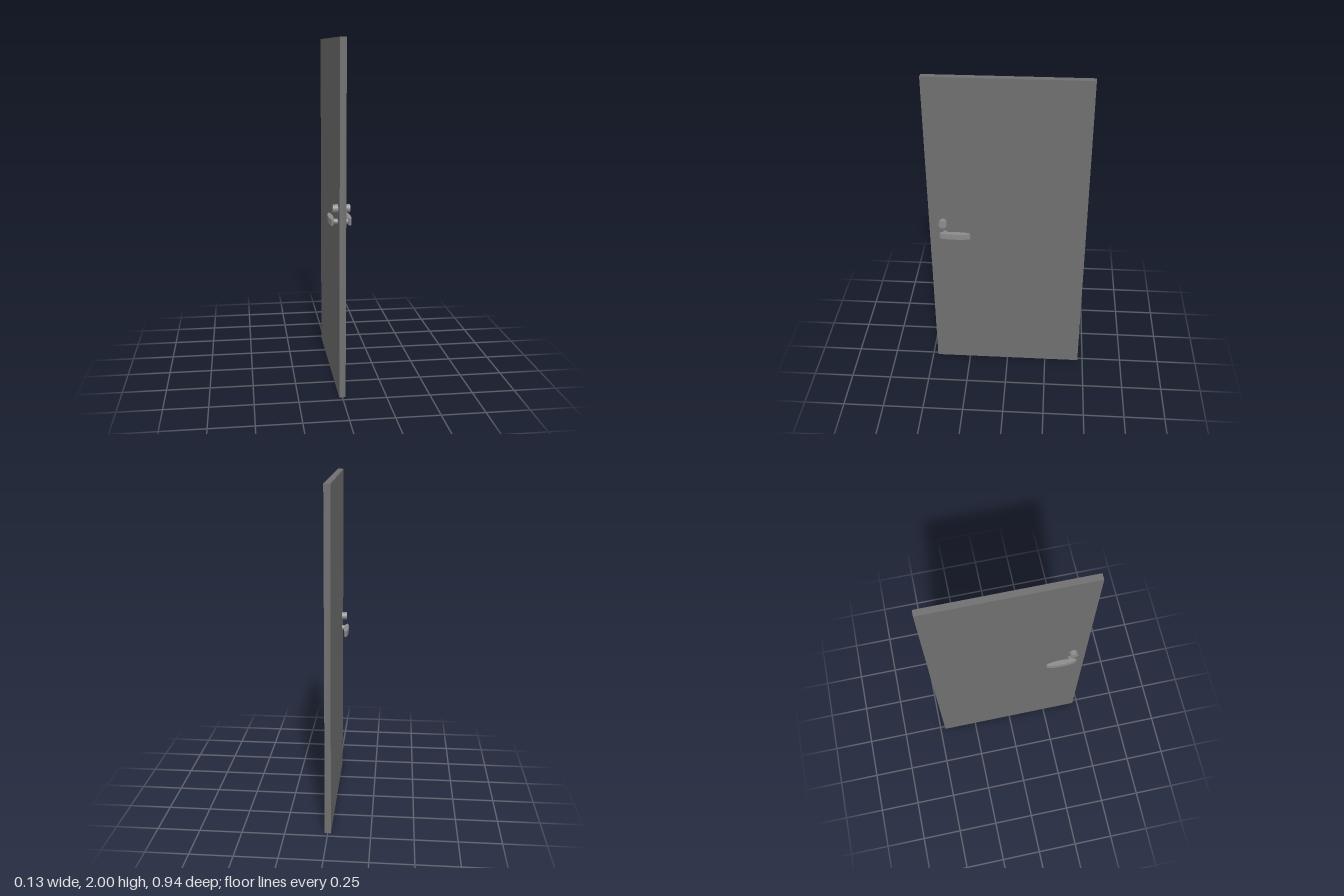
import * as THREE from 'three';

export function createModel() {
  const group = new THREE.Group();
  const doorPaint = new THREE.MeshStandardMaterial({ color: 0x707070 });
  const metal = new THREE.MeshStandardMaterial({ color: 0x8c8c8c });

  const add = (name, geometry, material, x, y, z) => {
    const mesh = new THREE.Mesh(geometry, material);
    mesh.name = name;
    mesh.position.set(x, y, z);
    group.add(mesh);
    return mesh;
  };

  // Round bar lying along x
  const bar = (radius, length) =>
    new THREE.CylinderGeometry(radius, radius, length, 20).rotateZ(Math.PI / 2);

  // Plain door slab
  add('doorPanel', new THREE.BoxGeometry(0.036, 2, 0.936), doorPaint, 0, 1, 0);

  // Lock cylinder passing through the slab, very slightly skewed
  const lock = add('lockCylinder', bar(0.0245, 0.096), metal, 0.0005, 1.078, 0.386);
  lock.rotation.y = 0.05;

  // Spindle joining the two levers
  add('handleSpindle', bar(0.016, 0.1), metal, 0, 1.003, 0.375);

  // Lever on each side: a slim elliptical bar
  for (const side of [-1, 1]) {
    const lever = new THREE.CylinderGeometry(1, 1, 0.036, 32).scale(0.0145, 1, 0.093);
    add(side > 0 ? 'leftLever' : 'rightLever', lever, metal, side * 0.0495, 1.003, 0.313);
  }

  return group;
}
